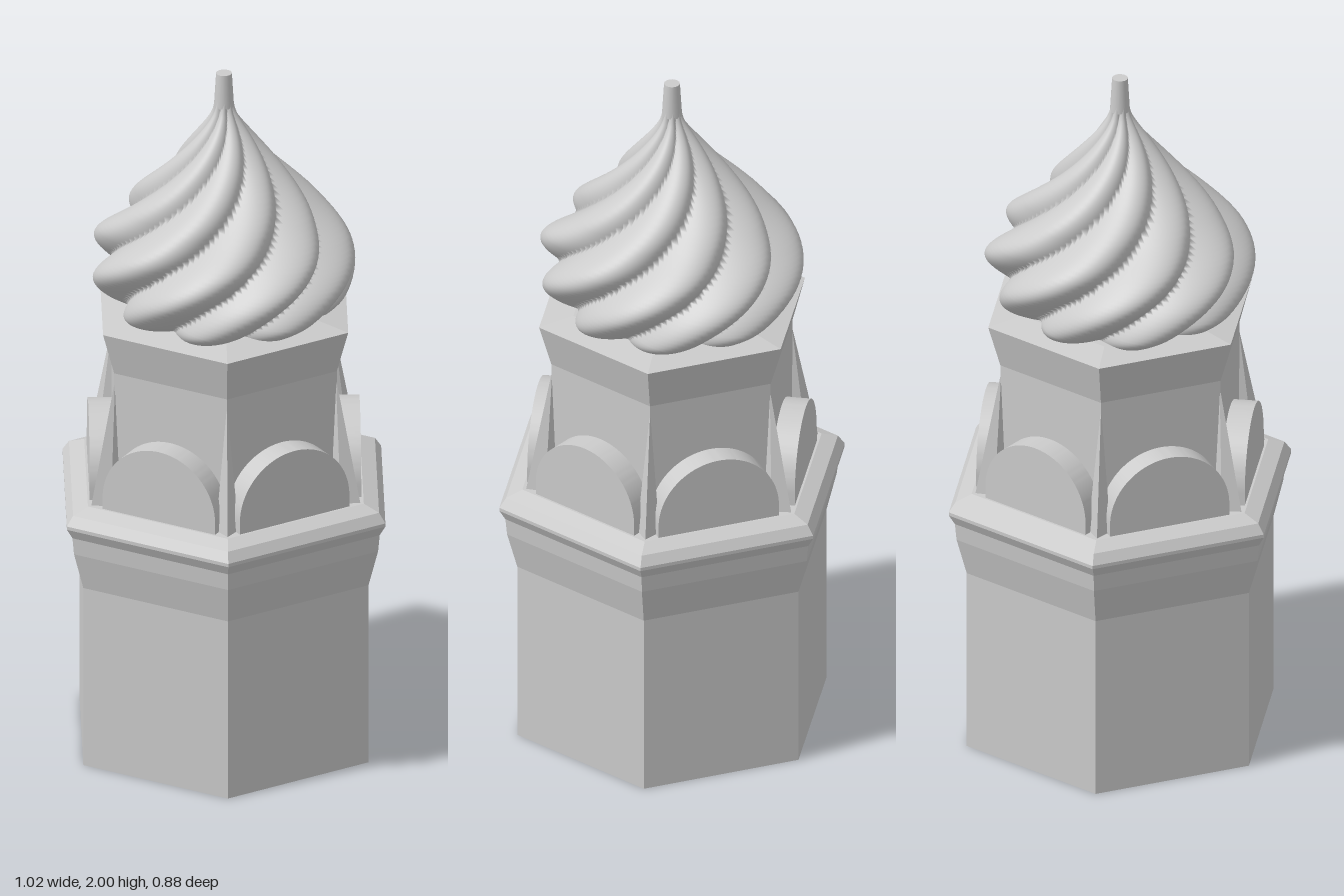
import * as THREE from 'three';
import { toCreasedNormals } from 'three/addons/utils/BufferGeometryUtils.js';
import { ParametricGeometry } from 'three/addons/geometries/ParametricGeometry.js';
import { ConvexGeometry } from 'three/addons/geometries/ConvexGeometry.js';

const smooth = new THREE.MeshStandardMaterial({ color: 0xcccccc });
const faceted = new THREE.MeshStandardMaterial({ color: 0xcccccc, flatShading: true });

function part(name, geometry, material) {
  const mesh = new THREE.Mesh(geometry, material);
  mesh.name = name;
  return mesh;
}

// Six-sided turned form with corners on the x axis; profile is [radius, y] from the bottom up
function hexLathe(profile) {
  const points = profile.map(([r, y]) => new THREE.Vector2(r, y));
  return new THREE.LatheGeometry(points, 6, Math.PI / 2);
}

// Swirling onion dome: a profile curve with eight twisted, rounded lobes
function domeGeometry() {
  const profile = new THREE.SplineCurve([
    [0.285, 1.295], [0.34, 1.34], [0.374, 1.43], [0.353, 1.51], [0.275, 1.6],
    [0.17, 1.71], [0.085, 1.81], [0.036, 1.88], [0.025, 1.93],
  ].map(([r, y]) => new THREE.Vector2(r, y)));
  const lobes = 8, twist = 4.3, depth = 0.19;
  const p = new THREE.Vector2();
  return new ParametricGeometry((u, v, target) => {
    profile.getPoint(v, p);
    const angle = u * Math.PI * 2;
    const swirl = angle - twist * (p.y - 1.42);
    const lobe = Math.abs(Math.cos(swirl * lobes / 2));
    const r = p.x * (1 - depth * (1 - lobe));
    target.set(r * Math.cos(angle), p.y, -r * Math.sin(angle));
  }, 256, 64);
}

// Semicircular gable slab standing on the ledge
function gableGeometry() {
  const r = 0.177, base = 0.78, spring = 0.82;
  const shape = new THREE.Shape();
  shape.moveTo(-r, base);
  shape.lineTo(r, base);
  shape.lineTo(r, spring);
  shape.absarc(0, spring, r, 0, Math.PI, false);
  shape.closePath();
  const geometry = new THREE.ExtrudeGeometry(shape, { depth: 0.075, bevelEnabled: false, curveSegments: 32 });
  geometry.translate(0, 0, 0.3);
  return toCreasedNormals(geometry, Math.PI / 6);
}

// Pointed wedge leaning on a corner of the drum
function buttressGeometry() {
  return new ConvexGeometry([
    [0.352, 1.15, 0], [0.43, 0.78, 0], [0.385, 0.78, 0.032], [0.385, 0.78, -0.032], [0.3, 0.78, 0],
  ].map((c) => new THREE.Vector3(...c)));
}

export function createModel() {
  const model = new THREE.Group();
  model.name = 'onionDomeTower';

  // Hollow lower shaft with flared cornice and ledge
  model.add(part('lowerShaft', hexLathe([
    [0, 0.7], [0.34, 0.7], [0.34, 0], [0.455, 0], [0.455, 0.54], [0.485, 0.65],
    [0.49, 0.7], [0.508, 0.73], [0.508, 0.74], [0.488, 0.768], [0.44, 0.785], [0, 0.785],
  ]), faceted));

  // Upper drum flaring out under the dome
  model.add(part('upperDrum', hexLathe([
    [0, 0.78], [0.355, 0.78], [0.355, 1.17], [0.391, 1.295], [0.29, 1.312], [0, 1.312],
  ]), faceted));

  // Gables on the six faces, buttresses on the six corners
  const gable = gableGeometry();
  const buttress = buttressGeometry();
  for (let i = 0; i < 6; i++) {
    const side = new THREE.Group();
    side.name = `drumSide${i + 1}`;
    side.rotation.y = i * Math.PI / 3;
    side.add(part('gable', gable, smooth), part('cornerButtress', buttress, faceted));
    model.add(side);
  }

  // Dome and its finial stub
  model.add(part('dome', domeGeometry(), smooth));
  const finial = part('finial', new THREE.CylinderGeometry(0.022, 0.028, 0.1, 16), smooth);
  finial.position.y = 1.95;
  model.add(finial);

  return model;
}
